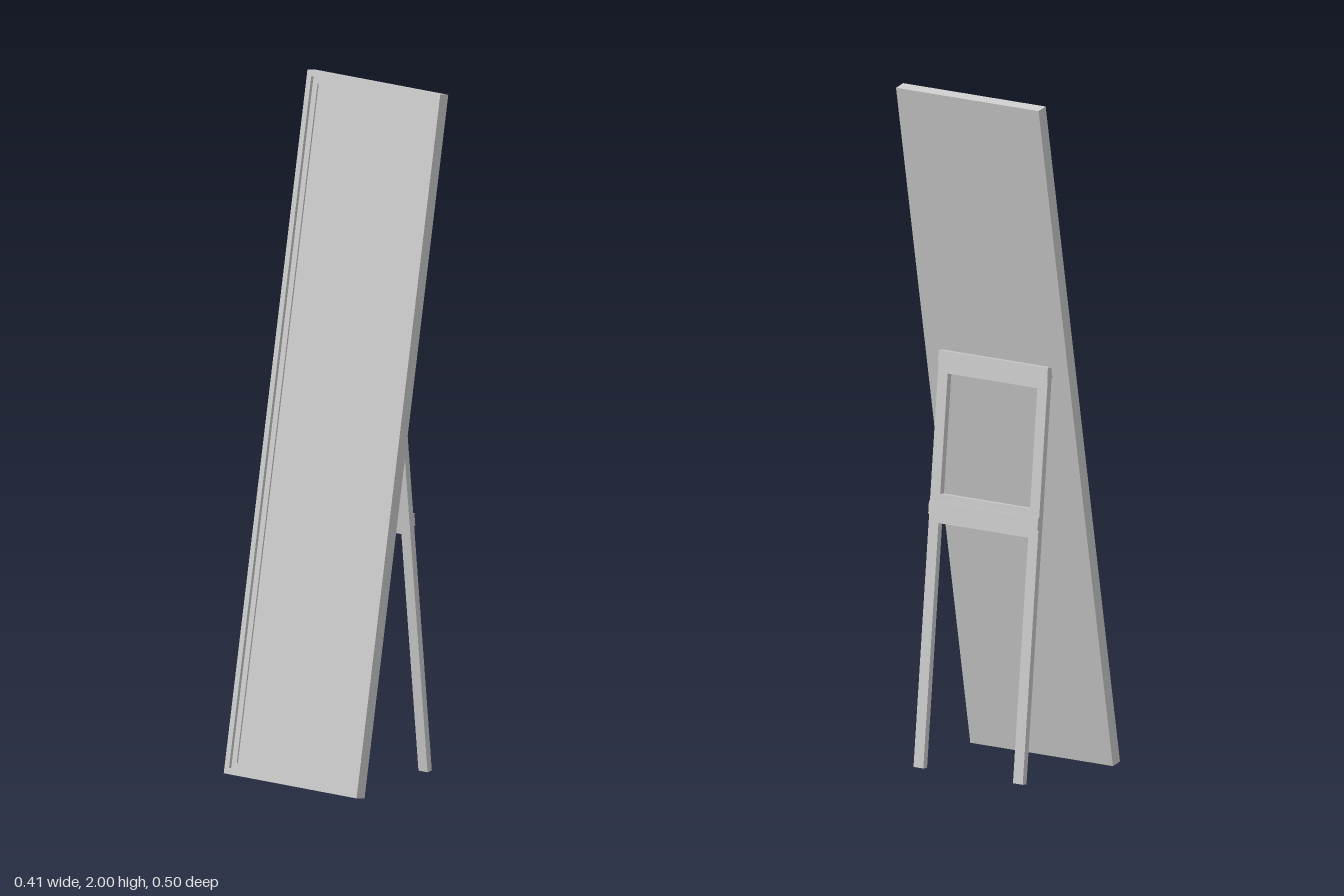
import * as THREE from 'three';

const material = new THREE.MeshStandardMaterial({ color: 0xcccccc, flatShading: true });

function trace(target, w, y0, y1) {
  target.moveTo(-w, y0);
  target.lineTo(w, y0);
  target.lineTo(w, y1);
  target.lineTo(-w, y1);
  target.closePath();
  return target;
}

// Plate in the y/z plane, spanning x0..x1 in thickness
function plate(name, shape, x0, x1) {
  const geometry = new THREE.ExtrudeGeometry(shape, { depth: x1 - x0, bevelEnabled: false });
  geometry.rotateY(Math.PI / 2);
  geometry.translate(x0, 0, 0);
  const mesh = new THREE.Mesh(geometry, material);
  mesh.name = name;
  return mesh;
}

function bar(name, x0, x1, y0, y1, halfWidth) {
  return plate(name, trace(new THREE.Shape(), halfWidth, y0, y1), x0, x1);
}

// Rectangular border with a smaller opening
function border(name, half, height, outer, inner, x0, x1) {
  const shape = trace(new THREE.Shape(), half - outer, outer - height, height - outer);
  shape.holes.push(trace(new THREE.Path(), half - inner, inner - height, height - inner));
  return plate(name, shape, x0, x1);
}

function createMirror() {
  const group = new THREE.Group();
  group.name = 'mirrorPanel';
  const half = 0.248, height = 1.014, t = 0.018;
  // Stepped frame around a recessed glass, facing -x
  group.add(border('outerFrame', half, height, 0, 0.017, -t, t));
  group.add(border('innerFrame', half, height, 0.017, 0.035, -t + 0.01, t));
  const glass = trace(new THREE.Shape(), half - 0.035, 0.035 - height, height - 0.035);
  group.add(plate('mirrorGlass', glass, -t + 0.015, t));
  group.position.set(0, 1, 0);
  group.rotation.z = -0.1833;
  return group;
}

function createStand() {
  const group = new THREE.Group();
  group.name = 'easelStand';
  const half = 0.19, inner = 0.156, t = 0.0095;
  // Two legs, top rail and middle rail in one piece
  const frame = new THREE.Shape([
    [-half, 0], [-inner, 0], [-inner, 0.709], [inner, 0.709],
    [inner, 0], [half, 0], [half, 1.175], [-half, 1.175],
  ].map(([u, v]) => new THREE.Vector2(u, v)));
  frame.holes.push(trace(new THREE.Path(), inner, 0.793, 1.141));
  group.add(plate('legFrame', frame, -t, t));
  // Thicker hinge bar at the top and raised strip on the middle rail
  group.add(bar('hingeBar', -0.0125, 0.0125, 1.172, 1.205, half));
  group.add(bar('railStrip', t - 0.002, t + 0.005, 0.733, 0.77, half));
  group.position.set(0.189, 0.008, 0);
  group.rotation.z = 0.1065;
  return group;
}

export function createModel() {
  const model = new THREE.Group();
  model.name = 'standingMirror';
  model.add(createMirror(), createStand());
  return model;
}
